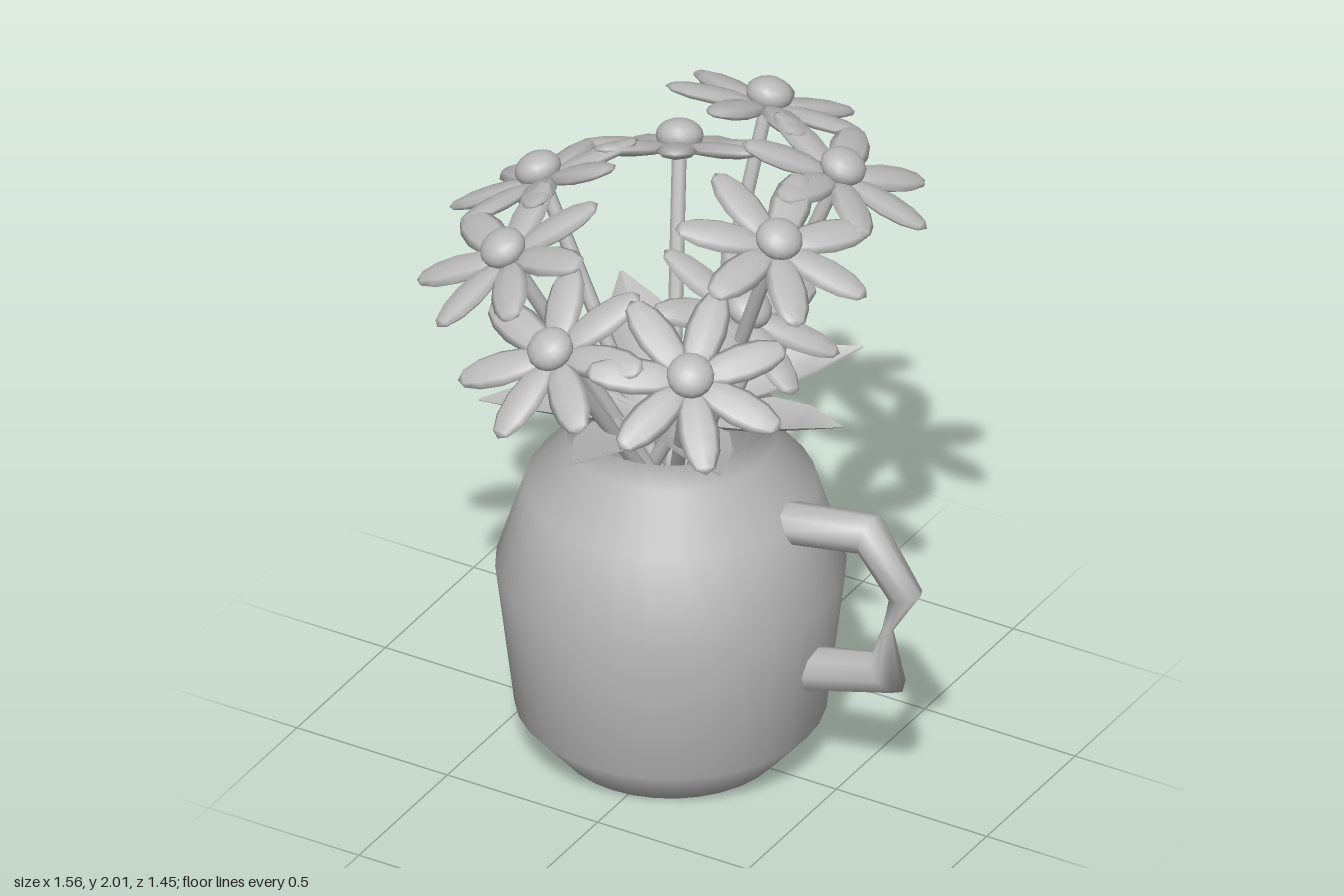
import * as THREE from 'three';

const V = (x, y, z) => new THREE.Vector3(x, y, z);
const clay = new THREE.MeshStandardMaterial({ color: 0xbbbbbb, side: THREE.DoubleSide });
clay.name = 'clay grey';

const CENTRE = V(-0.05, 0, 0);

function mesh(name, geometry) {
  const m = new THREE.Mesh(geometry, clay);
  m.name = name;
  return m;
}

// Skin a list of equally sized cross-section rings; closed joins each ring round
function loft(rings, closed) {
  const n = rings[0].length, index = [];
  for (let i = 0; i < rings.length - 1; i++) {
    for (let j = 0; j < (closed ? n : n - 1); j++) {
      const a = i * n + j, b = i * n + (j + 1) % n;
      index.push(a, b, a + n, b, b + n, a + n);
    }
  }
  const g = new THREE.BufferGeometry().setFromPoints(rings.flat());
  g.setIndex(index);
  g.computeVertexNormals();
  return g;
}

function makeVase() {
  const profile = [[0, 0], [0.33, 0], [0.45, 0.14], [0.505, 0.6], [0.42, 0.87], [0.3, 1.02], [0.3, 1.11]];
  const vase = mesh('vase', new THREE.LatheGeometry(profile.map(([r, y]) => new THREE.Vector2(r, y)), 32));
  vase.position.copy(CENTRE);
  return vase;
}

// Angular handle that pinches in the middle: x, y, in-plane offset to the outer edge, half width in z
function makeHandle() {
  const sections = [
    [0.28, 0.845, -0.01, 0.062, 0.07], [0.61, 0.9, 0.012, 0.06, 0.07], [0.73, 0.73, 0.05, 0.012, 0.05],
    [0.672, 0.6, 0.018, 0.0, 0.01], [0.67, 0.45, 0.05, -0.05, 0.06], [0.3, 0.355, 0.02, -0.068, 0.07],
  ];
  const rings = sections.map(([x, y, dx, dy, w]) => Array.from({ length: 8 }, (_, j) => {
    const a = j / 8 * Math.PI * 2, c = Math.cos(a);
    return V(x + dx * c, y + dy * c, w * Math.sin(a));
  }));
  return mesh('handle', loft(rings, true));
}

// Folded leaf: radius, keel height, edge height, half width
function makeLeaf() {
  const sections = [
    [0.0, 1.06, 1.07, 0.015], [0.14, 1.09, 1.14, 0.07], [0.28, 1.125, 1.19, 0.1],
    [0.42, 1.175, 1.22, 0.075], [0.57, 1.232, 1.235, 0.004],
  ];
  const rings = sections.map(([r, keel, edge, w]) => [V(r, edge, -w), V(r, keel, 0), V(r, edge, w)]);
  return loft(rings, false);
}

// Pointed ellipsoid petal lying along +x
const petalGeometry = new THREE.SphereGeometry(1, 8, 6)
  .rotateZ(-Math.PI / 2).scale(0.135, 0.024, 0.06).translate(0.165, 0, 0);
const eyeGeometry = new THREE.SphereGeometry(1, 16, 10).scale(0.069, 0.05, 0.069);

// Flower whose head faces along its leaning stem
function makeFlower([x, y, z, rootFactor, spin]) {
  const flower = new THREE.Group();
  flower.name = 'flower';
  const top = V(x, y, z);
  const root = CENTRE.clone().lerp(V(x, 0, z), rootFactor).setY(1.08);
  const normal = top.clone().sub(root).normalize();
  const foot = root.clone().addScaledVector(normal, -0.3);
  const stemEnd = top.clone().addScaledVector(normal, -0.03);

  const stem = mesh('stem', new THREE.CylinderGeometry(0.022, 0.022, foot.distanceTo(stemEnd), 8));
  stem.position.copy(foot).add(stemEnd).multiplyScalar(0.5);
  stem.quaternion.setFromUnitVectors(V(0, 1, 0), normal);

  const outward = V(normal.x, 0, normal.z);
  outward.addScaledVector(normal, -outward.dot(normal)).normalize();
  const side = outward.clone().cross(normal);
  const head = new THREE.Group();
  head.name = 'flowerHead';
  head.position.copy(top);
  head.quaternion.setFromRotationMatrix(new THREE.Matrix4().makeBasis(outward, normal, side));
  head.add(mesh('flowerCentre', eyeGeometry));
  for (let i = 0; i < 7; i++) {
    const petal = mesh('petal', petalGeometry);
    petal.position.y = -0.035;
    petal.rotation.y = -(Math.PI + i / 7 * Math.PI * 2 + THREE.MathUtils.degToRad(spin));
    head.add(petal);
  }
  flower.add(stem, head);
  return flower;
}

export function createModel() {
  const model = new THREE.Group();
  model.name = 'flowerJug';
  model.add(makeVase(), makeHandle());

  // Ring of leaves over the rim
  const leafGeometry = makeLeaf();
  for (let i = 0; i < 8; i++) {
    const leaf = mesh('leaf', leafGeometry);
    leaf.position.copy(CENTRE);
    leaf.rotation.y = i / 8 * Math.PI * 2;
    model.add(leaf);
  }

  // Head x, y, z, how far out the stem starts, petal spin in degrees
  const flowers = [
    [-0.01, 1.93, -0.49, 0.3, 0], [0.37, 1.93, -0.26, 0.3, 0], [0.41, 1.93, 0.17, 0.3, 0],
    [-0.28, 1.73, -0.44, 0.3, 0], [-0.54, 1.73, -0.08, 0.3, 0], [-0.41, 1.73, 0.34, 0.3, 0],
    [0.21, 1.54, 0.0, 0.1, 0], [0.25, 1.54, 0.4, 0.4, 22], [-0.17, 1.54, 0.48, 0.4, -29],
  ];
  flowers.forEach((f) => model.add(makeFlower(f)));
  return model;
}
